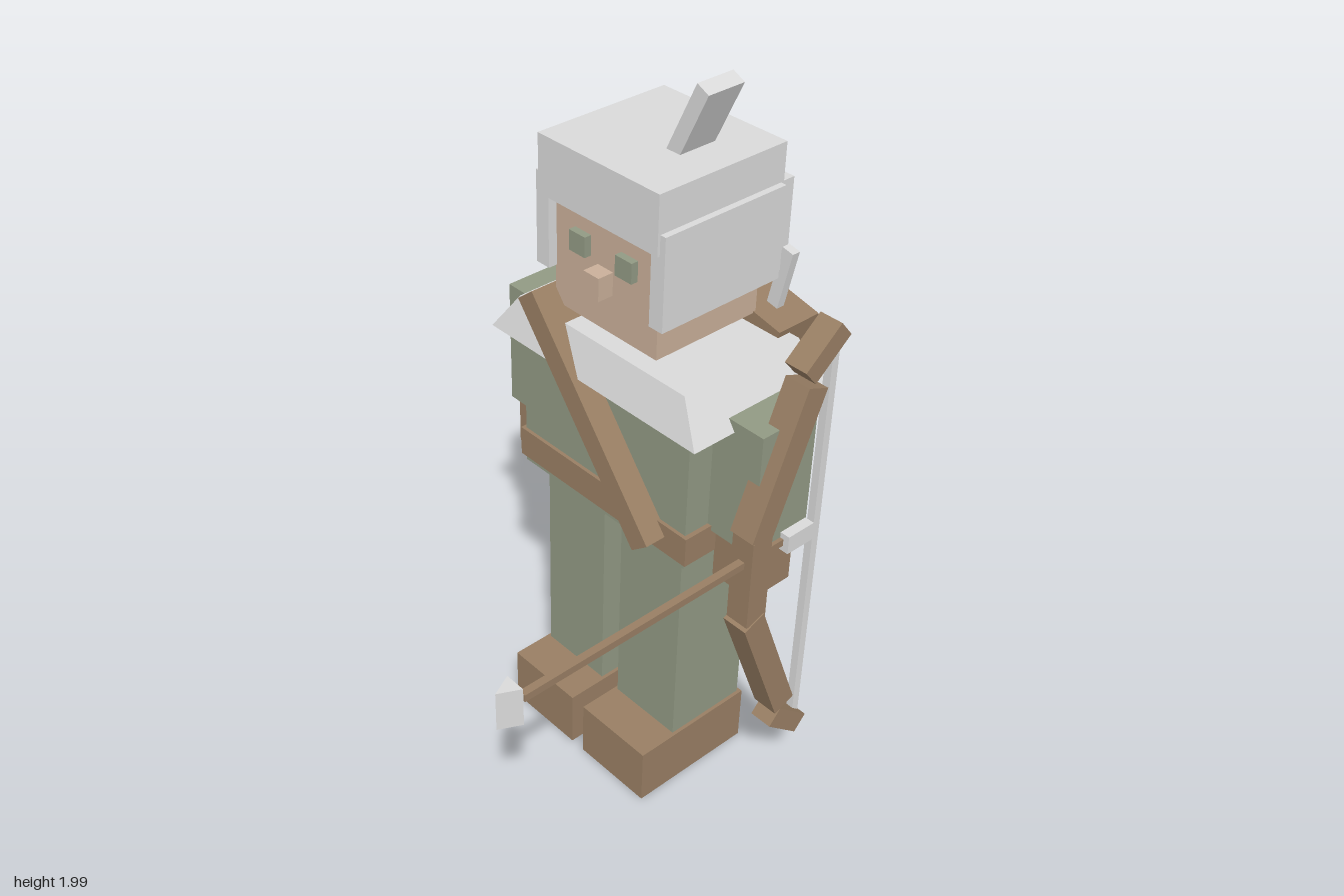
import * as THREE from 'three';

const mat = (name, color) => {
  const m = new THREE.MeshStandardMaterial({ color });
  m.name = name;
  return m;
};

export function createModel() {
  const model = new THREE.Group();
  const green = mat('green cloth', 0x929a84);
  const brown = mat('brown leather', 0x997f64);
  const grey = mat('pale grey', 0xdadada);
  const skin = mat('skin', 0xcab09a);

  const add = (parent, name, geometry, material) => {
    const mesh = new THREE.Mesh(geometry, material);
    mesh.name = name;
    parent.add(mesh);
    return mesh;
  };
  // Box given by its limits on each axis
  const box = (parent, name, material, [x0, x1], [y0, y1], [z0, z1]) => {
    const mesh = add(parent, name, new THREE.BoxGeometry(x1 - x0, y1 - y0, z1 - z0), material);
    mesh.position.set((x0 + x1) / 2, (y0 + y1) / 2, (z0 + z1) / 2);
    return mesh;
  };
  // Box given by centre, size and tilt
  const tilted = (parent, name, material, size, centre, rx, rz) => {
    const mesh = add(parent, name, new THREE.BoxGeometry(...size), material);
    mesh.position.set(...centre);
    mesh.rotation.set(rx, 0, rz);
    return mesh;
  };

  // Body is centred slightly off the middle because of the bow
  const cx = -0.022;

  for (const [side, s] of [['right', -1], ['left', 1]]) {
    const mid = cx + s * 0.145;
    box(model, side + 'Leg', green, [mid - 0.112, mid + 0.112], [0.17, 0.82], [-0.42, -0.17]);
    box(model, side + 'Boot', brown, [mid - 0.122, mid + 0.122], [0, 0.17], [-0.43, -0.05]);
    const arm = cx + s * 0.38;
    box(model, side + 'Arm', green, [arm - 0.078, arm + 0.078], [0.9, 1.255], [-0.39, -0.207]);
    box(model, side + 'Hand', brown, [arm - 0.067, arm + 0.067], [0.75, 0.9], [-0.36, -0.225]);
  }
  box(model, 'torso', green, [-0.325, 0.28], [0.81, 1.25], [-0.47, -0.13]);
  box(model, 'belt', brown, [-0.335, 0.293], [0.83, 0.915], [-0.48, -0.12]);

  // Fur collar: box narrowed towards the top
  const collar = box(model, 'collar', grey, [-0.39, 0.346], [1.225, 1.332], [-0.525, -0.077]);
  const p = collar.geometry.attributes.position;
  for (let i = 0; i < p.count; i++) {
    if (p.getY(i) > 0) p.setXYZ(i, p.getX(i) * 0.8, p.getY(i), p.getZ(i) * 0.85);
  }
  collar.geometry.computeVertexNormals();

  // Strap wraps diagonally around the chest and back
  tilted(model, 'strap', brown, [0.067, 0.683, 0.475], [-0.021, 1.125, -0.297], 0, 0.678);

  // Head and face
  const head = new THREE.Group();
  head.name = 'head';
  model.add(head);
  box(head, 'neck', skin, [-0.09, 0.045], [1.3, 1.37], [-0.36, -0.23]);
  box(head, 'face', skin, [-0.2, 0.156], [1.363, 1.7], [-0.46, -0.13]);
  box(head, 'nose', skin, [-0.05, 0.003], [1.468, 1.53], [-0.14, -0.085]);
  for (const s of [-1, 1]) {
    const ex = cx + s * 0.08;
    box(head, 'eye', green, [ex - 0.028, ex + 0.028], [1.542, 1.596], [-0.14, -0.11]);
    const fx = cx + s * 0.197;
    box(head, 'earFlap', grey, [fx - 0.022, fx + 0.022], [1.465, 1.71], [-0.485, -0.105]);
  }

  // Cap with back plate and feather
  box(head, 'cap', grey, [-0.225, 0.18], [1.657, 1.81], [-0.495, -0.098]);
  box(head, 'capBack', grey, [-0.222, 0.178], [1.47, 1.71], [-0.532, -0.45]);
  tilted(head, 'feather', grey, [0.04, 0.215, 0.11], [0.087, 1.888, -0.317], 0, -0.44);

  // Quiver with spare arrow
  tilted(model, 'quiver', brown, [0.19, 0.6, 0.138], [0.09, 1.075, -0.521], 0, -0.21);
  tilted(model, 'spareFletching', grey, [0.035, 0.19, 0.024], [0.178, 1.437, -0.522], 0, -0.21);

  // Bow: grip with mirrored limbs and tips
  const bow = new THREE.Group();
  bow.name = 'bow';
  bow.position.set(0.437, 0.853, 0);
  model.add(bow);
  box(bow, 'grip', brown, [-0.034, 0.034], [-0.132, 0.132], [-0.23, -0.165]);
  for (const s of [-1, 1]) {
    tilted(bow, 'limb', brown, [0.074, 0.405, 0.07], [0, s * 0.315, -0.264], -s * 0.375, 0);
    tilted(bow, 'limbTip', brown, [0.066, 0.14, 0.057], [0, s * 0.583, -0.365], -s * 0.87, 0);
  }
  box(bow, 'string', grey, [-0.011, 0.011], [-0.61, 0.61], [-0.43, -0.408]);

  // Arrow resting on the bow
  const arrow = new THREE.Group();
  arrow.name = 'arrow';
  arrow.position.set(0.437, 0.907, 0);
  model.add(arrow);
  box(arrow, 'shaft', brown, [-0.01, 0.01], [-0.01, 0.01], [-0.38, 0.515]);
  box(arrow, 'fletching', grey, [-0.027, 0.027], [-0.026, 0.026], [-0.388, -0.3]);
  const tip = new THREE.Shape([
    new THREE.Vector2(-0.027, -0.533),
    new THREE.Vector2(0, -0.588),
    new THREE.Vector2(0.027, -0.533),
  ]);
  const tipMesh = add(arrow, 'arrowhead',
    new THREE.ExtrudeGeometry(tip, { depth: 0.108, bevelEnabled: false }), grey);
  tipMesh.rotation.x = -Math.PI / 2;
  tipMesh.position.y = -0.054;

  return model;
}
